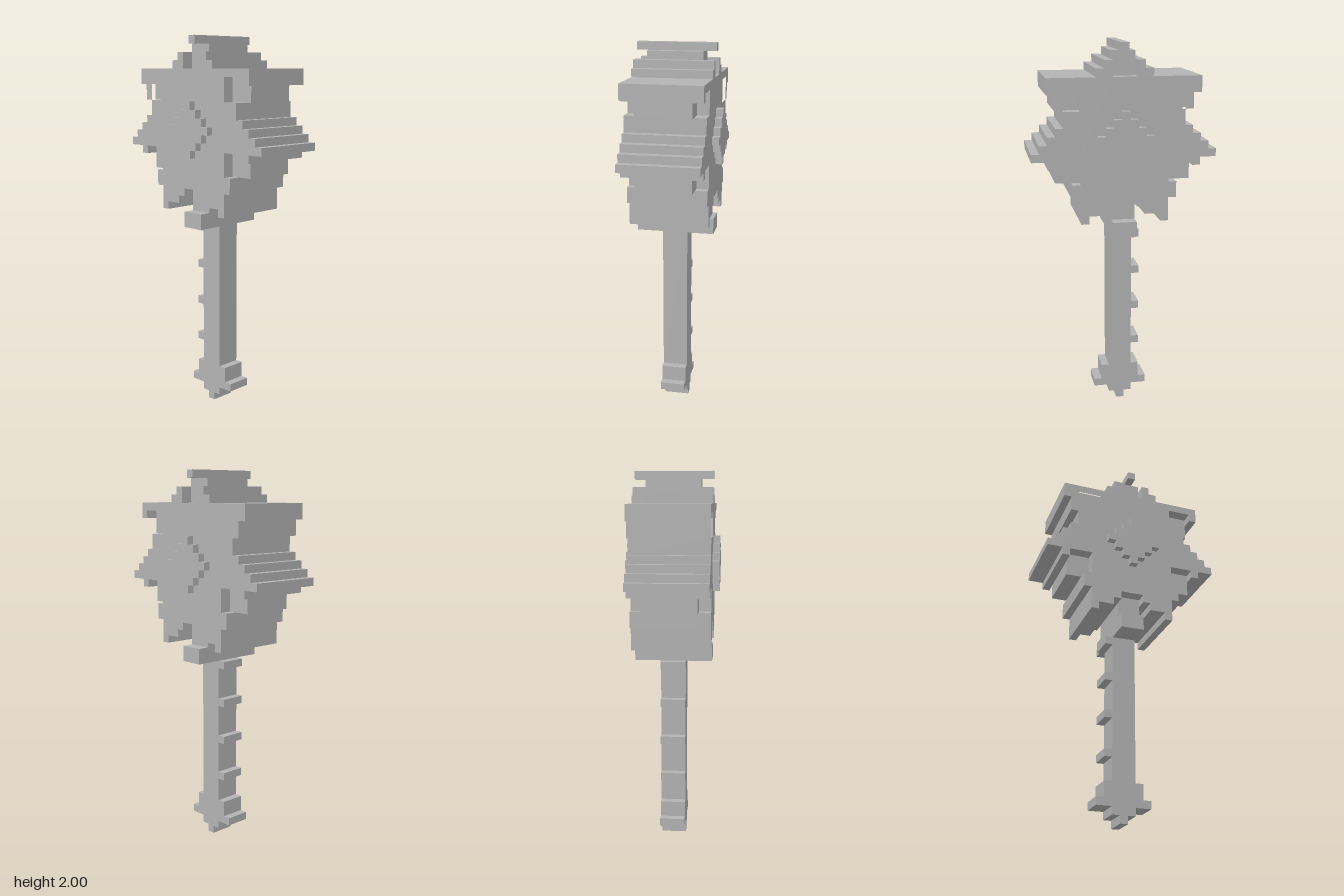
import * as THREE from 'three';

// One block is 1/24 unit; rows are counted downwards from the top (y = 2).
const U = 1 / 24;
const HEAD = 0.208, CORE = 0.145, EMBLEM = 0.245, GRIP = 0.067;
const point = ([x, row]) => new THREE.Vector2(x * U, 2 - row * U);
const mirror = (pts) => pts.map(([x, row]) => [-x, row]).reverse();

export function createModel() {
  const group = new THREE.Group();
  const stone = new THREE.MeshStandardMaterial({ color: 0xb3b3b3 });
  stone.name = 'grey stone';

  // Extrude a stepped outline between two depths
  function slab(name, pts, z0, z1, hole) {
    const shape = new THREE.Shape(pts.map(point));
    if (hole) shape.holes.push(new THREE.Path(hole.map(point)));
    const geo = new THREE.ExtrudeGeometry(shape, { depth: z1 - z0, bevelEnabled: false });
    geo.translate(0, 0, z0);
    const mesh = new THREE.Mesh(geo, stone);
    mesh.name = name;
    group.add(mesh);
  }
  const rect = (x0, x1, r0, r1) => [[x0, r0], [x1, r0], [x1, r1], [x0, r1]];

  // Head core: full star outline
  const coreHalf = [
    [0.5, 0], [0.5, 1], [1.5, 1], [1.5, 2], [2.5, 2], [2.5, 3], [3.5, 3], [3.5, 4],
    [9.5, 4], [9.5, 6], [8.5, 6], [8.5, 8], [7.5, 8], [7.5, 10], [8.5, 10], [8.5, 11],
    [9.5, 11], [9.5, 12], [10.5, 12], [10.5, 13], [11.5, 13], [11.5, 14], [9.5, 14],
    [9.5, 15], [8.5, 15], [8.5, 17], [6.5, 17], [6.5, 19], [5.5, 19], [5.5, 22],
    [4.5, 22], [4.5, 21], [2.5, 21], [2.5, 20], [1.5, 20], [1.5, 24],
  ];
  slab('headCore', [...coreHalf, ...mirror(coreHalf)], -CORE, CORE);

  // Outer plates: the same star with the square recesses left out
  const crown = [[1.5, 4], [1.5, 2], [2.5, 2], [2.5, 3], [3.5, 3], [3.5, 4], [9.5, 4], [9.5, 6], [8.5, 6]];
  const notch = [[8.5, 5], [5.5, 5], [5.5, 8]];
  const lower = [
    [7.5, 8], [7.5, 10], [8.5, 10], [8.5, 11], [9.5, 11], [9.5, 12], [10.5, 12], [10.5, 13],
    [11.5, 13], [11.5, 14], [9.5, 14], [9.5, 15], [8.5, 15], [8.5, 14], [5.5, 14], [5.5, 17],
    [6.5, 17], [6.5, 19], [5.5, 19], [5.5, 22], [4.5, 22], [4.5, 21], [2.5, 21], [2.5, 20],
    [1.5, 20], [1.5, 19],
  ];
  const plate = [...crown, ...notch, ...lower, ...mirror([...crown, [8.5, 8], ...lower])];

  // Stepped diamond emblem
  const diamondHalf = [];
  for (let r = 0; r < 7; r++) {
    const w = 3.5 - Math.abs(r - 3);
    diamondHalf.push([w, 8 + r], [w, 9 + r]);
  }
  const diamond = [...diamondHalf, ...mirror(diamondHalf)];

  for (const [side, s] of [['front', 1], ['back', -1]]) {
    const span = (a, b) => (s > 0 ? [a, b] : [-b, -a]);
    slab(side + 'Plate', plate, ...span(CORE, HEAD), rect(-7.49, -4.5, 5, 8));
    slab(side + 'TopTip', rect(-0.5, 0.5, 0, 1), ...span(CORE, HEAD));
    slab(side + 'Collar', rect(-1.5, 1.5, 22, 24), ...span(CORE, HEAD));
    slab(side + 'Emblem', diamond, ...span(HEAD, EMBLEM));
  }

  // Handle with stepped pommel
  const handleHalf = [
    [1.5, 24], [1.5, 43], [2.5, 43], [2.5, 45], [3.5, 45], [3.5, 46],
    [1.5, 46], [1.5, 47], [0.5, 47], [0.5, 48],
  ];
  slab('handle', [...handleHalf, ...mirror(handleHalf)], -GRIP, GRIP);

  // Ridges along one side of the handle
  for (let i = 0; i < 4; i++) {
    const r = 24 + i * 5;
    slab('handleRidge' + (i + 1), rect(-2.5, -1.5, r, r + 1), -GRIP, GRIP);
  }
  return group;
}
